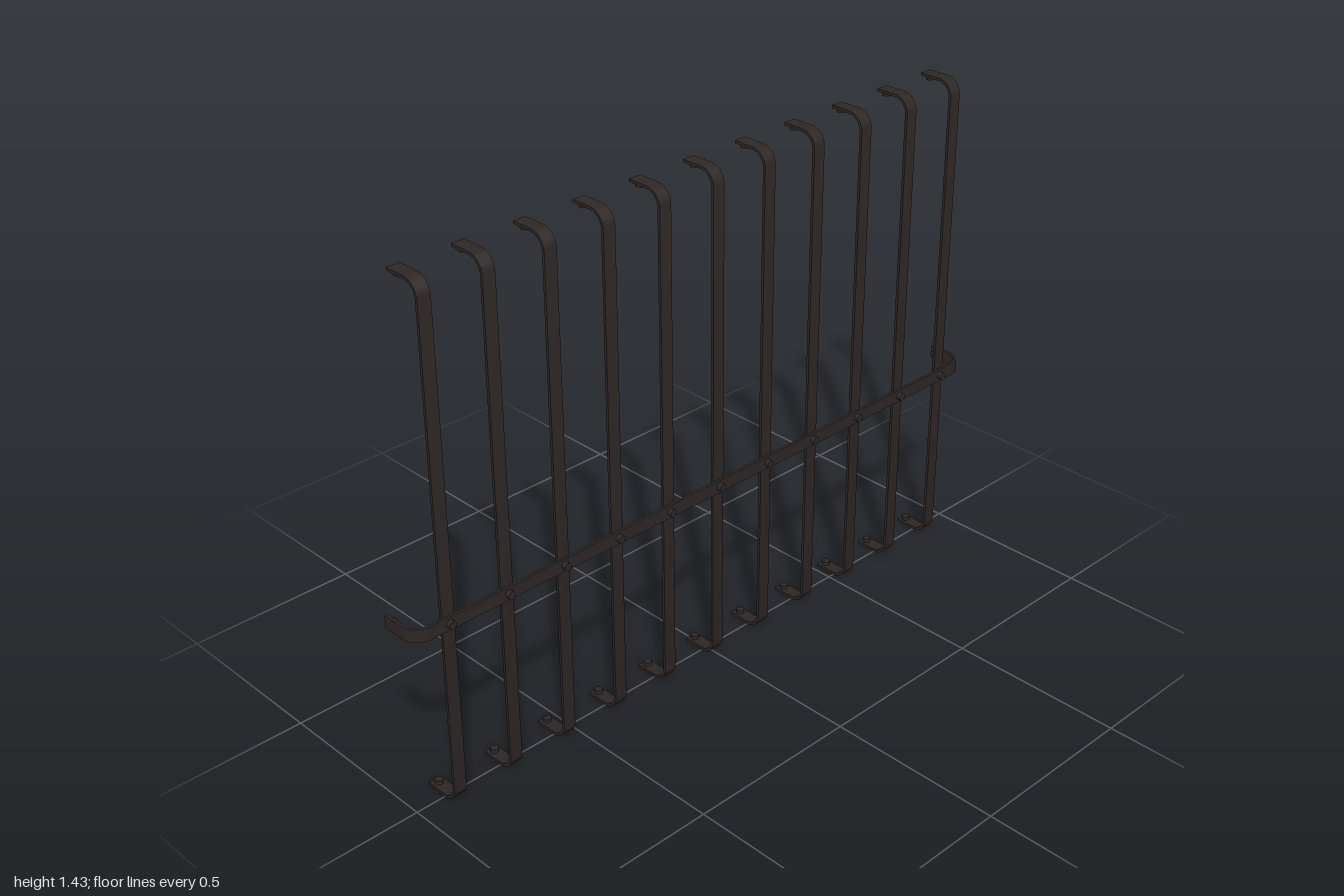
import * as THREE from 'three';
import { toCreasedNormals } from 'three/addons/utils/BufferGeometryUtils.js';

const WIDTH = 0.037, THICK = 0.008, BACK = -0.063;

// Flat strip bent into a U: x is depth, y runs along the length, z is the width
function strapGeometry(length, front, radius) {
  const h = length / 2, r = radius, ri = radius - THICK, c = front - radius;
  const s = new THREE.Shape();
  s.moveTo(BACK, -h);
  s.lineTo(c, -h);
  s.absarc(c, -h + r, r, -Math.PI / 2, 0, false);
  s.lineTo(front, h - r);
  s.absarc(c, h - r, r, 0, Math.PI / 2, false);
  s.lineTo(BACK, h);
  s.lineTo(BACK, h - THICK);
  s.lineTo(c, h - THICK);
  s.absarc(c, h - r, ri, Math.PI / 2, 0, true);
  s.lineTo(front - THICK, -h + r);
  s.absarc(c, -h + r, ri, 0, -Math.PI / 2, true);
  s.lineTo(BACK, -h + THICK);
  s.closePath();
  const g = new THREE.ExtrudeGeometry(s, { depth: WIDTH, bevelEnabled: false, curveSegments: 8 });
  g.translate(0, 0, -WIDTH / 2);
  return toCreasedNormals(g, 0.6);
}

export function createModel() {
  const model = new THREE.Group();
  model.name = 'windowGrille';
  const iron = new THREE.MeshStandardMaterial({ color: 0x2e2726 });
  iron.name = 'dark iron';

  const rivetGeo = new THREE.CylinderGeometry(0.011, 0.011, 0.013, 16);

  function mesh(name, geometry, parent, x = 0, y = 0, z = 0) {
    const m = new THREE.Mesh(geometry, iron);
    m.name = name;
    m.position.set(x, y, z);
    parent.add(m);
    return m;
  }

  // Strap with a small stud on the inner side of each bent end
  function strap(name, geometry, length) {
    const g = new THREE.Group();
    g.name = name;
    mesh('strip', geometry, g);
    for (const side of [-1, 1])
      mesh('endStud', rivetGeo, g, -0.046, side * (length / 2 - THICK - 0.004), 0);
    model.add(g);
    return g;
  }

  // Upright bars
  const height = 1.43, crossY = 0.539;
  const uprightGeo = strapGeometry(height, 0.044, 0.045);
  for (let i = -5; i <= 5; i++) {
    const x = i * 0.179;
    const bar = strap('uprightBar', uprightGeo, height);
    bar.rotation.y = -Math.PI / 2;
    bar.position.set(x, height / 2, 0);
    // Rivet holding the cross bar to this upright
    mesh('crossRivet', rivetGeo, model, x, crossY, 0.0565).rotation.x = Math.PI / 2;
  }

  // Cross bar in front of the uprights
  const cross = strap('crossBar', strapGeometry(2, 0.051, 0.05), 2);
  cross.quaternion.setFromRotationMatrix(new THREE.Matrix4().makeBasis(
    new THREE.Vector3(0, 0, 1), new THREE.Vector3(1, 0, 0), new THREE.Vector3(0, 1, 0)));
  cross.position.y = crossY;

  return model;
}
